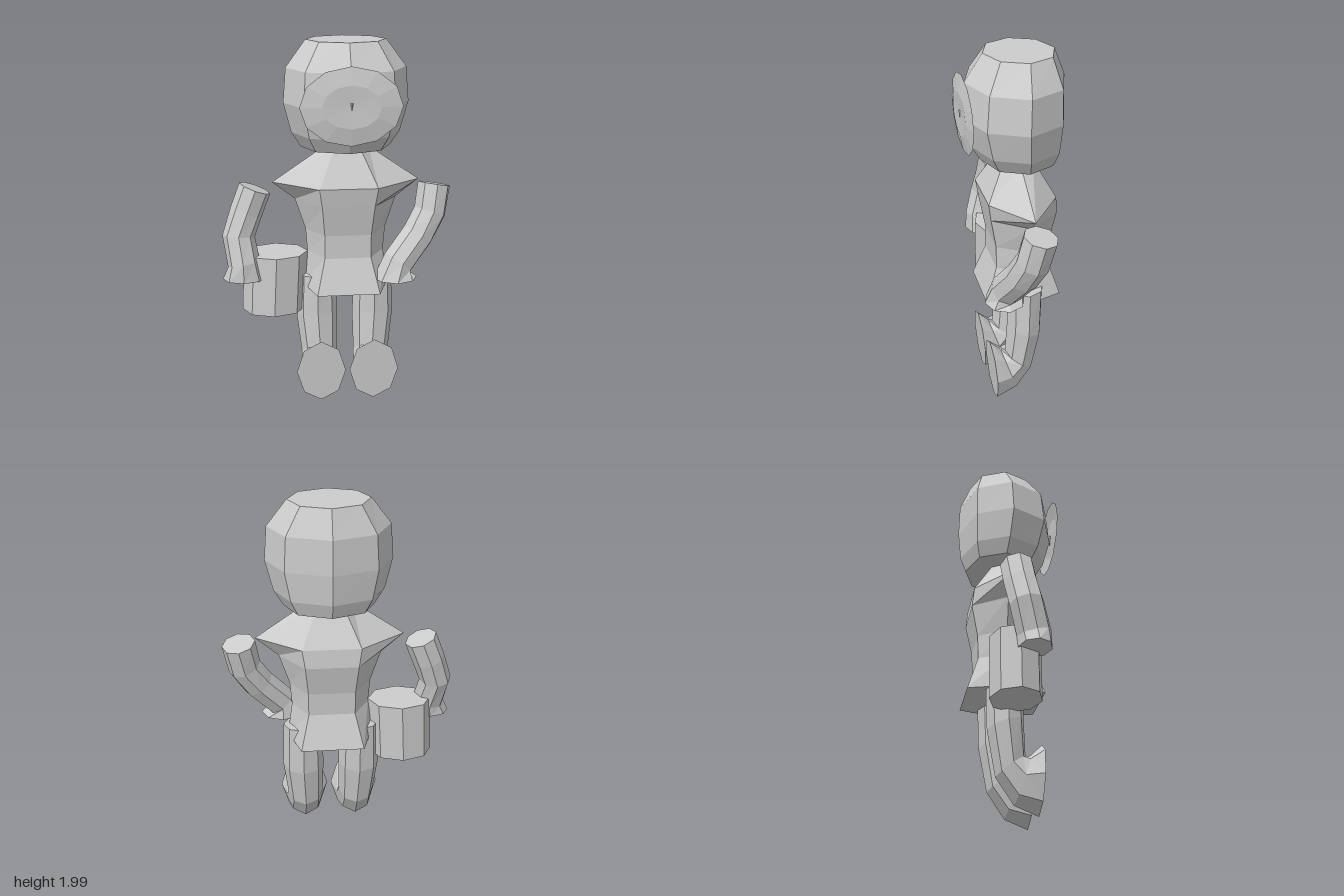
import * as THREE from 'three';

const grey = new THREE.MeshStandardMaterial({ color: 0xcccccc, flatShading: true, side: THREE.DoubleSide });
const V = (x, y, z) => new THREE.Vector3(x, y, z);

// Elliptical ring of n points round a centre, running from axis u to axis v
function ring(centre, u, v, n) {
  return Array.from({ length: n }, (_, i) => {
    const a = (i / n) * Math.PI * 2;
    return centre.clone().addScaledVector(u, Math.cos(a)).addScaledVector(v, Math.sin(a));
  });
}

// Skin a list of rings, with optional flat caps at start and end
function loft(name, rings, capStart = true, capEnd = true) {
  const pos = [];
  const tri = (...pts) => pts.forEach((p) => pos.push(p.x, p.y, p.z));
  const n = rings[0].length;
  for (let r = 0; r < rings.length - 1; r++) {
    const a = rings[r], b = rings[r + 1];
    for (let i = 0; i < n; i++) {
      const j = (i + 1) % n;
      tri(a[i], a[j], b[j]);
      tri(a[i], b[j], b[i]);
    }
  }
  const first = rings[0], last = rings[rings.length - 1];
  for (let i = 1; i < n - 1; i++) {
    if (capStart) tri(first[0], first[i + 1], first[i]);
    if (capEnd) tri(last[0], last[i], last[i + 1]);
  }
  const geo = new THREE.BufferGeometry();
  geo.setAttribute('position', new THREE.Float32BufferAttribute(pos, 3));
  geo.computeVertexNormals();
  const mesh = new THREE.Mesh(geo, grey);
  mesh.name = name;
  return mesh;
}

// Eight-sided head: [y, half width, front z, back z]
function head() {
  const rows = [
    [1.44, 0.24, 0.17, -0.23], [1.52, 0.29, 0.22, -0.26], [1.68, 0.33, 0.264, -0.275],
    [1.86, 0.315, 0.245, -0.27], [2.0, 0.21, 0.15, -0.215],
  ];
  return loft('head', rows.map(([y, w, f, b]) =>
    ring(V(0.05, y, (f + b) / 2), V(0, 0, (f - b) / 2), V(w, 0, 0), 8)));
}

// Six-sided torso: [y, half width at sides, half width of front face, front z, back z]
function torso() {
  const rows = [
    [0.66, 0.237, 0.17, 0.185, -0.225], [0.85, 0.21, 0.125, 0.12, -0.165],
    [0.98, 0.22, 0.125, 0.12, -0.17], [1.15, 0.275, 0.14, 0.15, -0.205],
    [1.25, 0.397, 0.155, 0.165, -0.195], [1.44, 0.12, 0.07, 0.065, -0.09],
  ];
  return loft('torso', rows.map(([y, w, c, f, b]) => {
    const m = (f + b) / 2;
    return [[-c, f], [c, f], [w, m], [c, b], [-c, b], [-w, m]].map(([x, z]) => V(0.05 + x, y, z));
  }));
}

// Leg curling forward into a flat-fronted foot:
// [x offset, half width, front z, front y, back z, back y]
function leg(name, x, side) {
  const rows = [
    [0.01, 0.105, 0.065, 0.72, -0.13, 0.73], [0.01, 0.115, 0.07, 0.5, -0.12, 0.44],
    [0, 0.1, 0.08, 0.31, -0.075, 0.2], [0, 0.105, 0.105, 0.32, 0.02, 0.06],
    [0, 0.137, 0.165, 0.38, 0.145, 0.01],
  ];
  return loft(name, rows.map(([dx, w, fz, fy, bz, by]) =>
    ring(V(x + side * dx, (fy + by) / 2, (fz + bz) / 2),
      V(0, (fy - by) / 2, (fz - bz) / 2), V(-w, 0, 0), 8)));
}

// Arm following a bent path, flaring to a level hand end
function arm(name, path, r, hand) {
  const pts = path.map((p) => V(...p));
  const rings = pts.map((p, i) => {
    const n = pts[Math.min(i + 1, pts.length - 1)].clone().sub(pts[Math.max(i - 1, 0)]).normalize();
    const u = V(0, 0, 1).addScaledVector(n, -n.z).normalize();
    const v = n.clone().cross(u);
    return ring(p, u.multiplyScalar(r), v.multiplyScalar(r), 8);
  });
  const [x, y, z, rx, rz] = hand;
  rings.push(ring(V(x, y, z), V(0, 0, rz), V(-rx, 0, 0), 8));
  return loft(name, rings);
}

export function createModel() {
  const model = new THREE.Group();
  model.add(head(), torso());

  // Shallow face disc with a dished middle
  const disc = [[0.26, 0.2, 0.256], [0.15, 0.11, 0.273], [0.03, 0.025, 0.269]];
  model.add(loft('faceDisc', disc.map(([rx, ry, z]) =>
    ring(V(0.05, 1.7, z), V(rx, 0, 0), V(0, ry, 0), 12)), false, true));

  // Tiny downward point in the middle of the face
  const nose = new THREE.Mesh(new THREE.ConeGeometry(0.01, 0.06, 4), grey);
  nose.name = 'nose';
  nose.rotation.x = Math.PI;
  nose.position.set(0.05, 1.69, 0.266);
  model.add(nose);

  model.add(leg('rightLeg', -0.1, -1), leg('leftLeg', 0.195, 1));

  model.add(arm('rightArm',
    [[-0.44, 1.218, -0.02], [-0.49, 1.09, -0.01], [-0.535, 0.96, 0.01], [-0.51, 0.81, 0.05]],
    0.088, [-0.512, 0.73, 0.055, 0.115, 0.085]));
  model.add(arm('leftArm',
    [[0.535, 1.22, -0.015], [0.51, 1.07, 0.015], [0.44, 0.95, 0.05], [0.325, 0.81, 0.1]],
    0.09, [0.31, 0.73, 0.11, 0.12, 0.108]));

  // Eight-sided basket beside the right hip
  model.add(loft('basket', [[0.52, -0.352], [0.855, -0.335]].map(([y, x]) =>
    ring(V(x, y, -0.013), V(0, 0, 0.133), V(0.175, 0, 0), 8))));

  return model;
}
